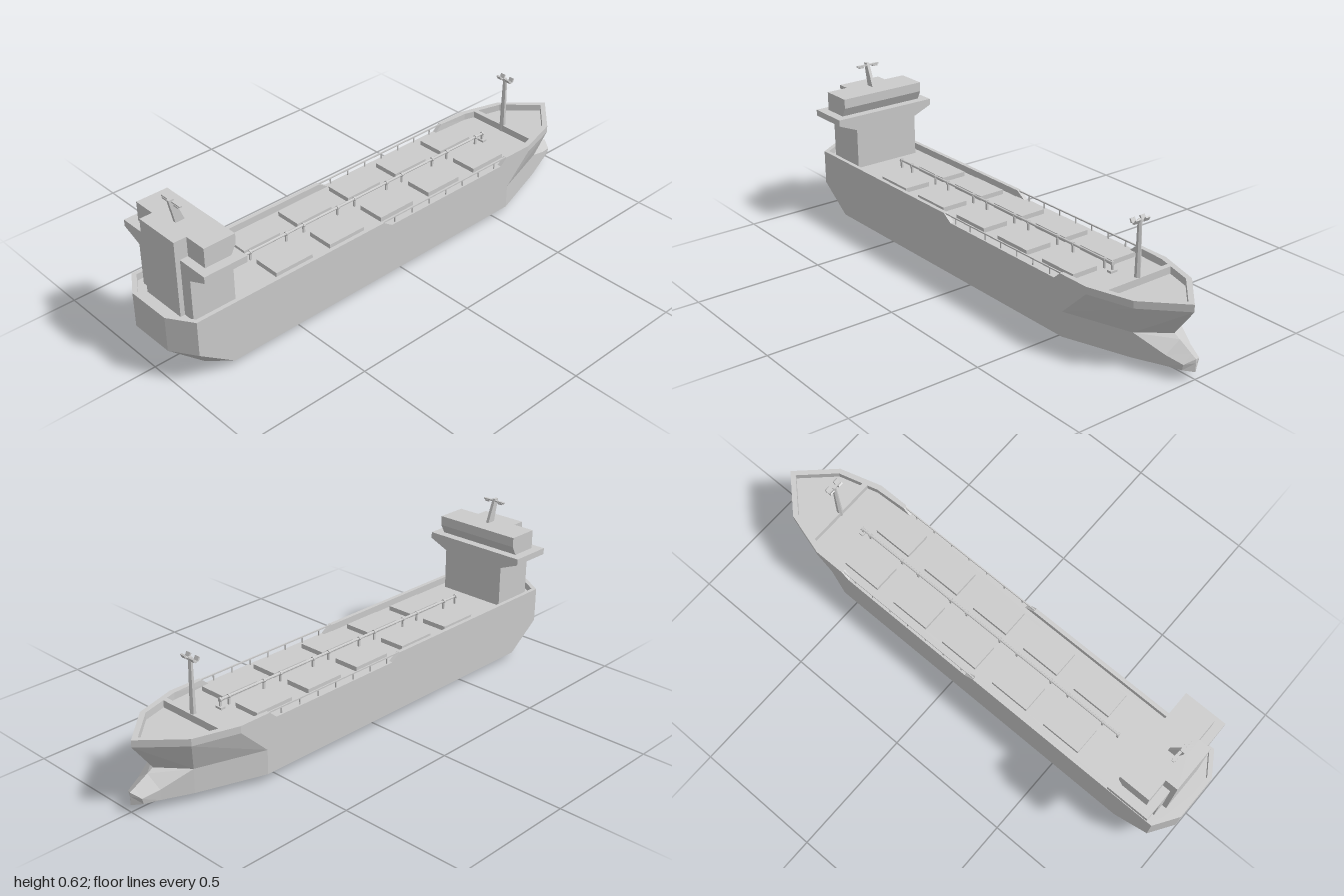
import * as THREE from 'three';

const mat = new THREE.MeshStandardMaterial({ color: 0xcccccc, flatShading: true, side: THREE.DoubleSide });
const DECK = 0.235, RIM = 0.262;

function add(parent, name, geo, x = 0, y = 0, z = 0) {
  const m = new THREE.Mesh(geo, mat);
  m.name = name;
  m.position.set(x, y, z);
  parent.add(m);
  return m;
}
const box = (p, name, w, h, d, x, y, z) => add(p, name, new THREE.BoxGeometry(w, h, d), x, y, z);

// Skin between rows of points
function loft(rows) {
  const pos = [];
  for (let r = 0; r < rows.length - 1; r++) {
    for (let c = 0; c < rows[r].length - 1; c++) {
      const a = rows[r][c], b = rows[r + 1][c], d = rows[r][c + 1], e = rows[r + 1][c + 1];
      if (!e) continue;
      pos.push(...a, ...b, ...d, ...b, ...e, ...d);
    }
  }
  const g = new THREE.BufferGeometry();
  g.setAttribute('position', new THREE.Float32BufferAttribute(pos, 3));
  g.computeVertexNormals();
  return g;
}

// Plan outline from [x, z] points
const plan = pts => new THREE.Shape(pts.map(([x, z]) => new THREE.Vector2(x, -z)));
const both = half => [...half, ...half.slice().reverse().map(([x, z]) => [-x, z])];

// Raised rim round one end, with sloping ends beside the side opening
function bulwark(outer, inner, zEnd, slope) {
  const shape = plan([...both(outer), ...both(inner).reverse()]);
  const g = new THREE.ExtrudeGeometry(shape, { depth: RIM - DECK, bevelEnabled: false });
  g.rotateX(-Math.PI / 2);
  const p = g.attributes.position;
  for (let i = 0; i < p.count; i++) {
    if (p.getY(i) < 0.001 && Math.abs(p.getZ(i) - zEnd) < 0.001) p.setZ(i, zEnd + slope);
  }
  return g;
}

// Extrude an outline along z
function prismZ(pts, z0, z1) {
  const s = new THREE.Shape(pts.map(p => new THREE.Vector2(...p)));
  return new THREE.ExtrudeGeometry(s, { depth: z1 - z0, bevelEnabled: false }).translate(0, 0, z0);
}
// Extrude a [z, y] outline across x
function prismX(pts, w) {
  const s = new THREE.Shape(pts.map(([z, y]) => new THREE.Vector2(-z, y)));
  return new THREE.ExtrudeGeometry(s, { depth: w, bevelEnabled: false }).translate(0, 0, -w / 2).rotateY(Math.PI / 2);
}

export function createModel() {
  const ship = new THREE.Group();
  ship.name = 'cargoShip';

  // Hull skin, open underneath, and bulbous bow; one half each side
  const hull = loft([
    [[0, DECK, 1], [0.09, DECK, 1], [0.183, DECK, 0.94], [0.183, DECK, -0.67], [0.133, DECK, -0.84], [0, DECK, -0.98]],
    [[0, 0.125, 1], [0.09, 0.125, 1], [0.183, 0.125, 0.94], [0.183, 0.125, -0.555], [0.1, 0.125, -0.81], [0, 0.128, -0.9]],
    [[0, 0, 0.86], [0.09, 0, 0.86], [0.183, 0.025, 0.8], [0.183, 0.03, -0.555], [0.1, 0.032, -0.81]],
  ]);
  const bulb = loft([
    [[0, 0.128, -0.9], [0, 0.115, -0.925], [0, 0.085, -0.98], [0, 0.075, -1]],
    [[0.1, 0.125, -0.81], [0.058, 0.075, -0.92], [0.037, 0.058, -0.98], [0, 0.06, -1]],
    [[0.1, 0.032, -0.81], [0.058, 0.036, -0.92], [0.037, 0.036, -0.975], [0, 0.027, -1]],
  ]);
  for (const s of [1, -1]) {
    const half = new THREE.Group();
    half.name = s > 0 ? 'hullLeft' : 'hullRight';
    half.scale.x = s;
    add(half, 'hullSide', hull);
    add(half, 'bulbousBow', bulb);
    ship.add(half);
  }

  // Deck with hatch openings
  const deck = plan(both([[0.09, 1], [0.183, 0.94], [0.183, -0.67], [0.133, -0.84], [0, -0.98]]));
  const hatchZ = [-0.48, -0.237, 0.005, 0.25, 0.493], HW = 0.108, HD = 0.162, HX = 0.088;
  const lid = new THREE.BoxGeometry(HW, 0.018, HD);
  const idx = Array.from(lid.index.array);
  idx.splice(18, 6);
  lid.setIndex(idx);
  for (const z of hatchZ) {
    for (const x of [-HX, HX]) {
      const w = HW / 2, d = HD / 2;
      deck.holes.push(plan([[x - w, z - d], [x + w, z - d], [x + w, z + d], [x - w, z + d]]));
      add(ship, 'hatchCover', lid, x, DECK + 0.009, z);
    }
  }
  add(ship, 'deck', new THREE.ShapeGeometry(deck).rotateX(-Math.PI / 2), 0, DECK, 0);

  // Bulwarks fore and aft, and the breakwater
  add(ship, 'sternBulwark', bulwark(
    [[0.183, 0.11], [0.183, 0.94], [0.09, 1]],
    [[0.167, 0.11], [0.167, 0.93], [0.085, 0.983]], 0.11, -0.04), 0, DECK, 0);
  add(ship, 'bowBulwark', bulwark(
    [[0.183, -0.54], [0.183, -0.67], [0.133, -0.84], [0, -0.98]],
    [[0.167, -0.54], [0.16, -0.67], [0.115, -0.83], [0, -0.952]], -0.54, 0.03), 0, DECK, 0);
  box(ship, 'breakwater', 0.31, 0.027, 0.02, 0, DECK + 0.0135, -0.722);

  // Side railings
  for (const x of [-0.175, 0.175]) {
    box(ship, 'railing', 0.005, 0.005, 0.66, x, RIM - 0.003, -0.215);
    for (let i = 0; i < 7; i++) box(ship, 'railingPost', 0.004, 0.025, 0.004, x, DECK + 0.0125, -0.48 + i * 0.088);
  }

  // Deck pipe on supports
  add(ship, 'deckPipe', new THREE.CylinderGeometry(0.005, 0.005, 1.25, 8).rotateX(Math.PI / 2), 0, 0.267, 0.025);
  const supports = [-0.6, 0.645];
  for (const z of hatchZ) supports.push(z - HD / 2, z + HD / 2);
  for (const z of supports) {
    box(ship, 'pipeSupport', 0.007, 0.032, 0.008, 0, DECK + 0.016, z);
    add(ship, 'pipeCollar', new THREE.CylinderGeometry(0.008, 0.008, 0.008, 8).rotateX(Math.PI / 2), 0, 0.267, z);
  }
  box(ship, 'pipeEnd', 0.03, 0.008, 0.02, 0, DECK + 0.004, -0.6);

  // Bow light mast
  const mast = new THREE.Group();
  mast.name = 'bowMast';
  mast.position.set(0, DECK, -0.72);
  ship.add(mast);
  add(mast, 'mastPole', new THREE.CylinderGeometry(0.008, 0.012, 0.235, 6), 0, 0.1175, 0);
  box(mast, 'mastCrossbar', 0.06, 0.006, 0.008, 0, 0.226, 0);
  for (const x of [-0.022, 0.022]) {
    for (const s of [-1, 1]) {
      box(mast, 'floodlight', 0.02, 0.016, 0.006, x, 0.234, s * 0.01).rotation.x = s * 0.5;
    }
  }

  // Superstructure: accommodation with flared wings, stair tower, bridge
  const house = new THREE.Group();
  house.name = 'superstructure';
  ship.add(house);
  add(house, 'accommodationAndWings', prismZ([
    [-0.14, DECK], [0.14, DECK], [0.14, 0.397], [0.22, 0.43], [0.22, 0.455],
    [-0.22, 0.455], [-0.22, 0.43], [-0.14, 0.397]], 0.75, 0.922));
  box(house, 'stairTower', 0.186, 0.53 - DECK, 0.08, 0, (0.53 + DECK) / 2, 0.9);
  add(house, 'bridge', prismX([
    [0.89, 0.455], [0.785, 0.455], [0.765, 0.492], [0.765, 0.53], [0.89, 0.53]], 0.366));

  // Raked radar mast
  add(house, 'radarMast', prismX([[0.868, 0.53], [0.832, 0.53], [0.868, 0.622], [0.888, 0.622]], 0.012));
  box(house, 'radarBar', 0.1, 0.005, 0.01, 0, 0.614, 0.872);
  for (const x of [-0.032, 0.032]) box(house, 'radarUnit', 0.022, 0.006, 0.014, x, 0.609, 0.872);

  return ship;
}
